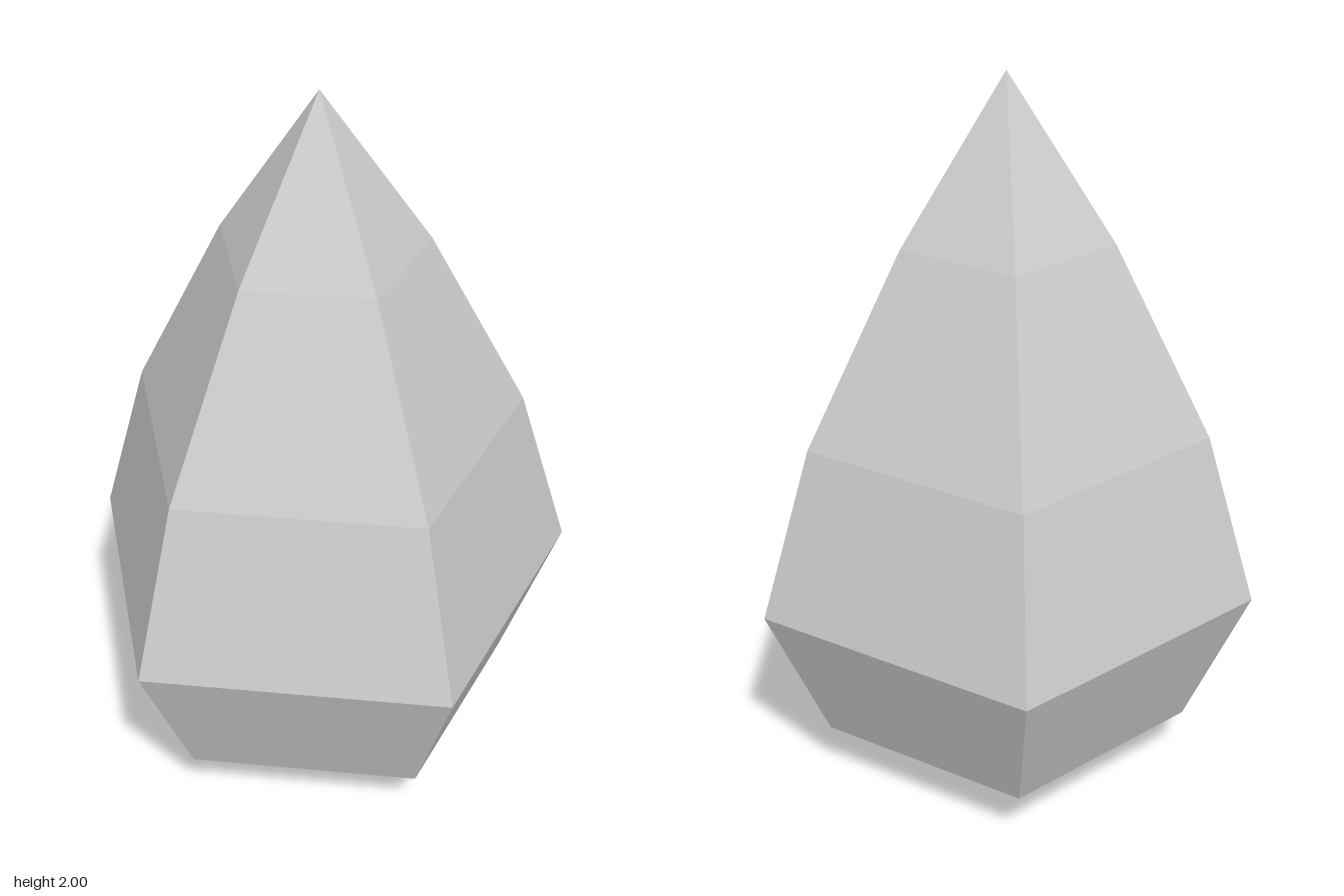
import * as THREE from 'three';

export function createModel() {
  const model = new THREE.Group();
  model.name = 'gemDrop';

  const stoneGrey = new THREE.MeshStandardMaterial({ color: 0xcccccc, flatShading: true });
  stoneGrey.name = 'stoneGrey';

  // Radius and height of each ring, from the bottom point to the tip
  const profile = [
    [0, 0], [0.524, 0.165], [0.697, 0.565], [0.556, 1.045], [0.29, 1.565], [0, 2],
  ].map(([r, y]) => new THREE.Vector2(r, y));

  // Five-sided faceted body with one corner pointing to +x
  const geometry = new THREE.LatheGeometry(profile, 5, Math.PI / 2).toNonIndexed();
  geometry.computeVertexNormals();
  const body = new THREE.Mesh(geometry, stoneGrey);
  body.name = 'facetedBody';
  body.position.x = -0.066; // centres the pentagon's width
  model.add(body);

  return model;
}
